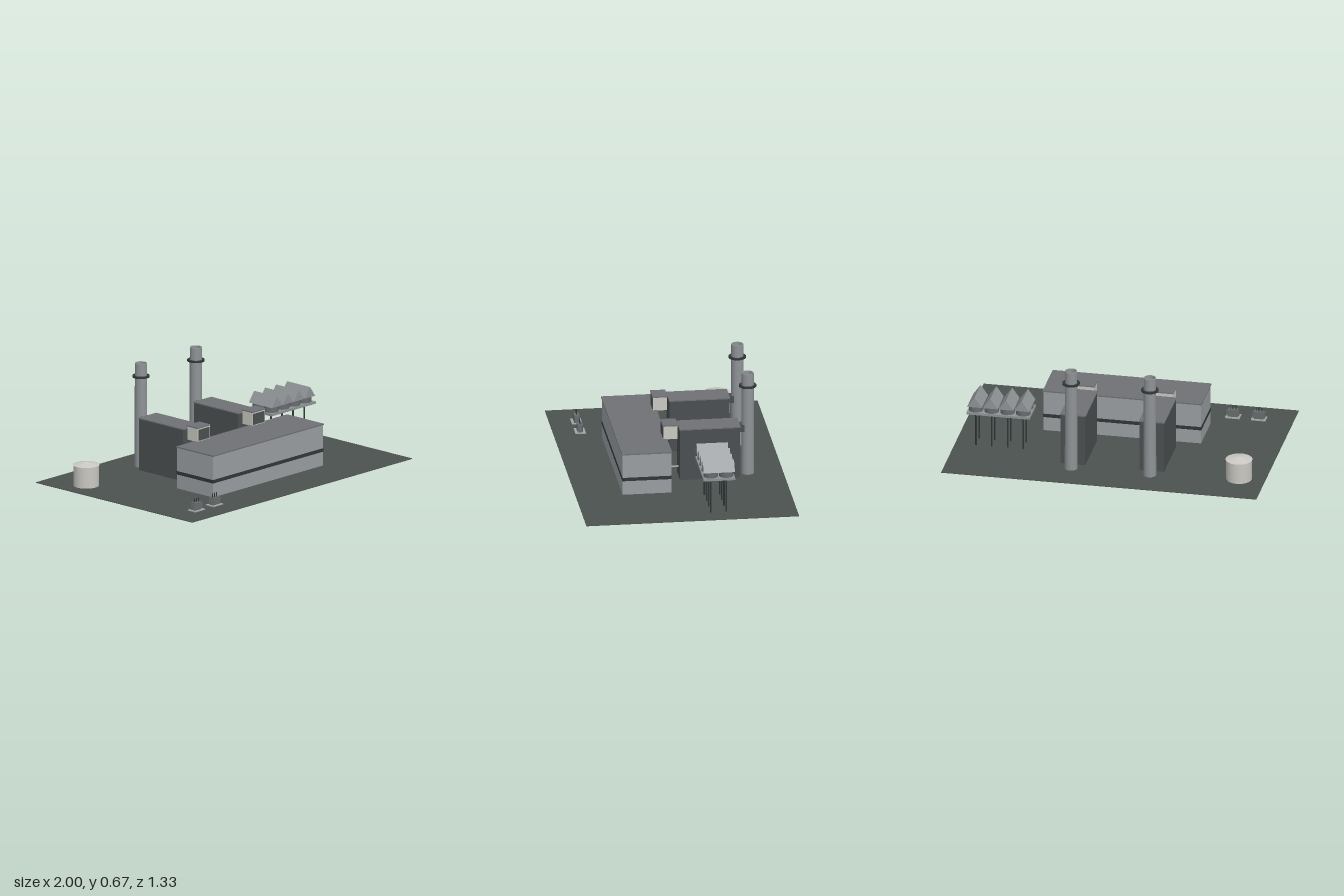
import * as THREE from 'three';

const mat = (name, color) => Object.assign(new THREE.MeshStandardMaterial({ color }), { name });

export function createModel() {
  const ground = mat('groundGrey', 0x4b5250);
  const wall = mat('wallGrey', 0x9a9ea1);
  const roof = mat('roofGrey', 0x6e7174);
  const dark = mat('boilerGrey', 0x4a4f51);
  const trim = mat('trimDark', 0x323638);
  const steel = mat('stackGrey', 0x8f9396);
  const pale = mat('tankPale', 0xc9c8c2);
  const concrete = mat('concrete', 0xa3a5a4);
  const machine = mat('transformerGrey', 0x676c6e);

  const model = new THREE.Group();
  model.name = 'powerPlant';
  const group = (name, x = 0, z = 0) => {
    const g = new THREE.Group();
    g.name = name;
    g.position.set(x, 0, z);
    model.add(g);
    return g;
  };
  const add = (parent, name, geo, material, x, y, z) => {
    const m = new THREE.Mesh(geo, material);
    m.name = name;
    m.position.set(x, y, z);
    parent.add(m);
    return m;
  };
  // Box and cylinder placed by their bottom height
  const box = (p, name, m, w, h, d, x, y, z) =>
    add(p, name, new THREE.BoxGeometry(w, h, d), m, x, y + h / 2, z);
  const cyl = (p, name, m, r, h, x, y, z, seg = 24) =>
    add(p, name, new THREE.CylinderGeometry(r, r, h, seg), m, x, y + h / 2, z);

  // Site slab
  box(model, 'groundSlab', ground, 2, 0.004, 1.334, 0, 0, 0);

  // Turbine hall with window band and roof
  const hall = group('turbineHall', 0, 0.222);
  box(hall, 'hallWalls', wall, 1, 0.264, 0.305, 0, 0.004, 0);
  box(hall, 'hallRoof', roof, 1.008, 0.008, 0.314, 0, 0.267, 0);
  box(hall, 'hallBand', trim, 1.004, 0.022, 0.309, 0, 0.094, 0);

  // Two generating lines: air intake, boiler, stack
  for (const x of [-0.28, 0.22]) {
    const line = group('generatingLine', x);
    box(line, 'airIntake', pale, 0.112, 0.086, 0.088, 0, 0.272, 0.046);
    box(line, 'intakeRoof', roof, 0.118, 0.007, 0.093, 0, 0.358, 0.046);
    box(line, 'intakeLouvre', dark, 0.1, 0.07, 0.004, 0, 0.28, 0.091);
    const pipe = cyl(line, 'steamPipe', concrete, 0.006, 0.09, 0, 0.023, 0.03, 12);
    pipe.rotation.x = Math.PI / 2;

    box(line, 'boilerBody', dark, 0.156, 0.331, 0.376, 0, 0.004, -0.2);
    box(line, 'boilerRoof', roof, 0.162, 0.007, 0.382, 0, 0.335, -0.2);
    box(line, 'flueDuct', dark, 0.06, 0.045, 0.04, 0, 0.288, -0.405);

    const profile = [[0.04, 0.004], [0.038, 0.67], [0.031, 0.67], [0.031, 0.62]]
      .map(([r, y]) => new THREE.Vector2(r, y));
    for (let i = 0; i < 3; i++)
      add(line, 'stackShell', new THREE.LatheGeometry(profile.slice(i, i + 2), 28), steel, 0, 0, -0.446);
    cyl(line, 'stackBore', trim, 0.031, 0.004, 0, 0.62, -0.446);
    cyl(line, 'stackPlatform', trim, 0.054, 0.011, 0, 0.58, -0.446, 28);
  }

  // Air-cooled condenser: deck on legs, fan rings and gabled tube bundles
  const cooler = group('condenser', 0.718, -0.178);
  box(cooler, 'coolerDeck', steel, 0.402, 0.015, 0.198, 0, 0.23, 0);
  const gable = new THREE.Shape([[-0.047, 0], [0.047, 0], [0, 0.066]].map(([a, b]) => new THREE.Vector2(a, b)));
  const gableGeo = new THREE.ExtrudeGeometry(gable, { depth: 0.196, bevelEnabled: false });
  for (let i = 0; i < 4; i++) {
    const x = (i - 1.5) * 0.1;
    add(cooler, 'tubeBundle', gableGeo, steel, x, 0.282, -0.098);
    for (const z of [-0.048, 0.048]) {
      cyl(cooler, 'fanRing', machine, 0.045, 0.037, x, 0.245, z);
      cyl(cooler, 'fanUnderside', trim, 0.038, 0.003, x, 0.2285, z);
      cyl(cooler, 'coolerLeg', trim, 0.005, 0.228, x, 0.004, z, 8);
    }
  }

  // Storage tank with shallow cone roof
  const tank = group('storageTank', -0.835, -0.392);
  cyl(tank, 'tankShell', pale, 0.08, 0.134, 0, 0.004, 0, 32);
  add(tank, 'tankRoof', new THREE.ConeGeometry(0.084, 0.018, 32), pale, 0, 0.147, 0);

  // Transformers on pads, with cooling fins and bushings
  for (const x of [-0.782, -0.617]) {
    const t = group('transformer', x, 0.498);
    box(t, 'pad', concrete, 0.092, 0.005, 0.066, 0, 0.004, 0);
    box(t, 'transformerTank', machine, 0.06, 0.047, 0.034, 0, 0.009, 0);
    for (const s of [-1, 1])
      for (let i = 0; i < 4; i++)
        box(t, 'coolingFin', machine, 0.009, 0.036, 0.004, s * 0.034, 0.014, (i - 1.5) * 0.009);
    for (const bx of [-0.018, 0, 0.018])
      cyl(t, 'bushing', trim, 0.0025, 0.026, bx, 0.056, 0, 8);
  }

  return model;
}
